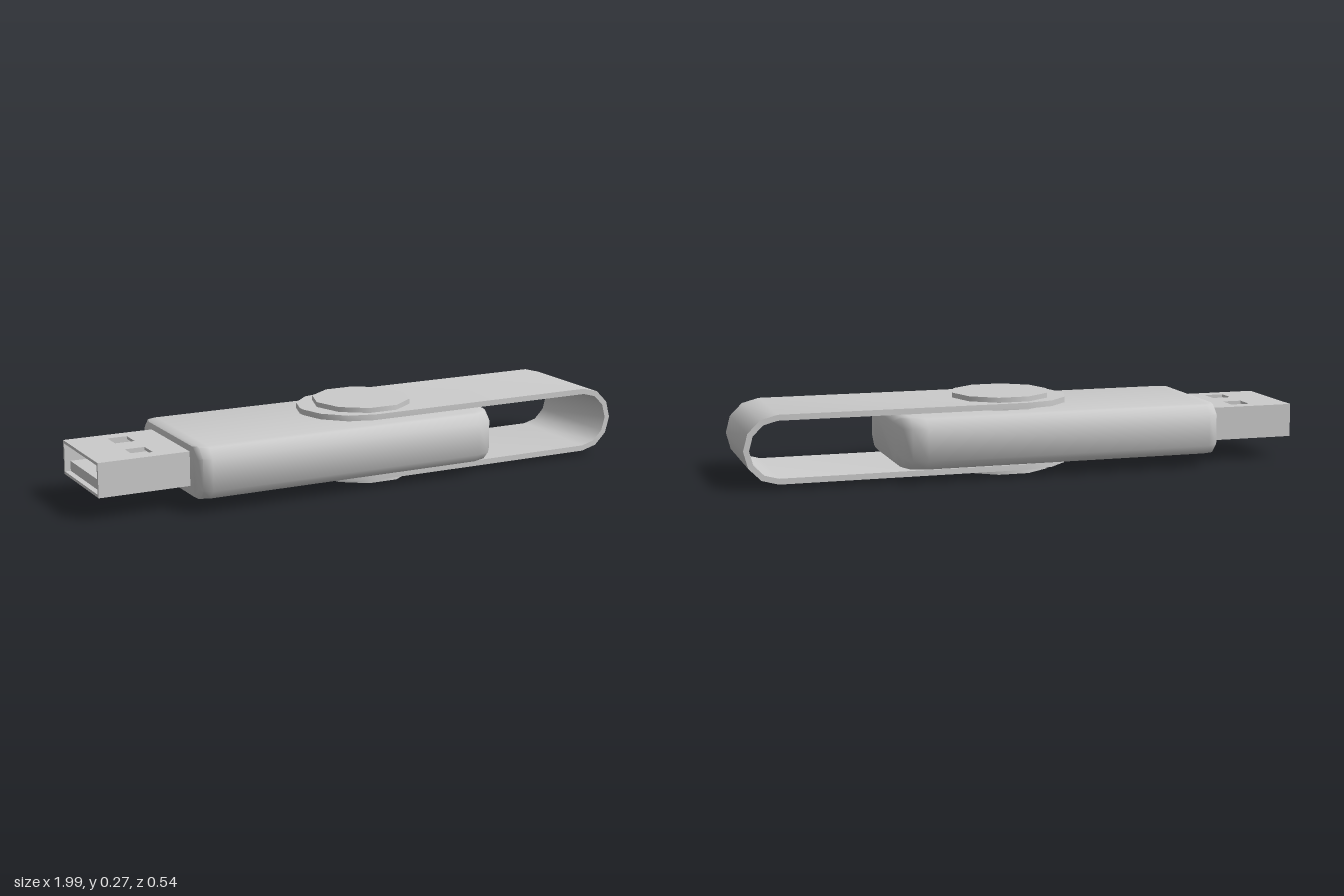
import * as THREE from 'three';
import { toCreasedNormals } from 'three/addons/utils/BufferGeometryUtils.js';

const MID = 0.135; // height of the central plane

// Skins a list of equal-length rings of [x, y, z] points and caps both ends.
function loft(rings, crease) {
  const n = rings[0].length;
  const index = [];
  for (let i = 0; i < rings.length - 1; i++) {
    for (let j = 0; j < n; j++) {
      const k = (j + 1) % n;
      const a = i * n + j, b = i * n + k, c = b + n, d = a + n;
      index.push(a, b, c, a, c, d);
    }
  }
  const last = (rings.length - 1) * n;
  for (let j = 1; j < n - 1; j++) {
    index.push(0, j + 1, j);
    index.push(last, last + j, last + j + 1);
  }
  const geo = new THREE.BufferGeometry();
  geo.setAttribute('position', new THREE.Float32BufferAttribute(rings.flat(2), 3));
  geo.setIndex(index);
  return toCreasedNormals(geo, crease);
}

// Body cross-section: a rectangle with softened corners.
function bodyRing([x, halfWidth, halfHeight]) {
  const corner = [[0, 0.045], [0.004, 0.03], [0.035, 0]]; // [drop in y, inset in z]
  const quarter = corner.map(([dy, dz]) => [halfHeight - dy, halfWidth - dz]);
  const right = [...quarter, ...quarter.map(([y, z]) => [-y, z]).reverse()];
  const ring = [...right, ...right.map(([y, z]) => [-y, -z])];
  return ring.map(([y, z]) => [x, MID + y, z]);
}

// Swivel clip: a flat strip with round tips, bent into a U.
function clipGeometry() {
  const outer = 0.1175, inner = 0.0975, half = 0.195, bendX = 0.875;
  const rings = [];
  const add = (xo, yo, xi, yi, w) => rings.push([
    [xo, MID + yo, -w], [xo, MID + yo, w], [xi, MID + yi, w], [xi, MID + yi, -w],
  ]);
  const tip = [0, 1, 2, 3].map((k) => {
    const a = (k * Math.PI) / 6;
    return [0.01 - half * Math.cos(a), Math.max(0.012, half * Math.sin(a))];
  });
  for (const [x, w] of tip) add(x, outer, x, inner, w);
  for (let k = 0; k <= 6; k++) {
    const a = Math.PI / 2 - (k * Math.PI) / 6;
    const c = Math.cos(a), s = Math.sin(a);
    add(bendX + outer * c, outer * s, bendX + inner * c, inner * s, half);
  }
  for (const [x, w] of tip.reverse()) add(x, -outer, x, -inner, w);
  return loft(rings, 0.6);
}

function rectangle(target, x0, y0, x1, y1) {
  target.moveTo(x0, y0);
  target.lineTo(x1, y0);
  target.lineTo(x1, y1);
  target.lineTo(x0, y1);
  target.closePath();
  return target;
}

export function createModel() {
  const model = new THREE.Group();
  const material = new THREE.MeshStandardMaterial({ color: 0xcccccc });

  const add = (name, geometry, parent = model) => {
    const mesh = new THREE.Mesh(geometry, material);
    mesh.name = name;
    parent.add(mesh);
    return mesh;
  };
  const addBox = (name, x0, x1, y0, y1, z0, z1, parent) => {
    const mesh = add(name, new THREE.BoxGeometry(x1 - x0, y1 - y0, z1 - z0), parent);
    mesh.position.set((x0 + x1) / 2, (y0 + y1) / 2, (z0 + z1) / 2);
    return mesh;
  };

  // Body, as [x, half width, half height] stations
  const stations = [
    [-0.68, 0.24, 0.085], [-0.67, 0.258, 0.09], [-0.64, 0.27, 0.09],
    [0.38, 0.27, 0.09], [0.43, 0.25, 0.09], [0.455, 0.215, 0.086], [0.473, 0.18, 0.068],
  ];
  add('body', loft(stations.map(bodyRing), 0.9));

  // Swivel clip and the pivot pin through it
  add('swivelClip', clipGeometry());
  const pin = add('pivotPin', new THREE.CylinderGeometry(0.175, 0.175, 0.27, 10));
  pin.rotation.y = Math.PI / 2;
  pin.position.set(0.05, MID, 0);

  // Plug: a hollow sleeve with two windows in its top and a tongue inside
  const plug = new THREE.Group();
  plug.name = 'plug';
  model.add(plug);
  const x0 = -1, x1 = -0.67, y0 = 0.08, y1 = 0.198, w = 0.17, t = 0.01;

  const plate = rectangle(new THREE.Shape(), x0, -w, x1, w);
  for (const z of [-0.12, 0.045]) {
    plate.holes.push(rectangle(new THREE.Path(), -0.86, z, -0.79, z + 0.075));
  }
  const top = add('plugTop', new THREE.ExtrudeGeometry(plate, { depth: t, bevelEnabled: false }), plug);
  top.rotation.x = -Math.PI / 2;
  top.position.y = y1 - t;

  addBox('plugBottom', x0, x1, y0, y0 + t, -w, w, plug);
  for (const side of [-1, 1]) {
    const wall = addBox('plugWall', x0, x1, y0 + t, y1 - t, -t / 2, t / 2, plug);
    wall.position.z = side * (w - t / 2);
  }
  addBox('plugTongue', x0 + 0.02, x1, y0 + t, 0.125, t - w, w - t, plug);

  return model;
}
